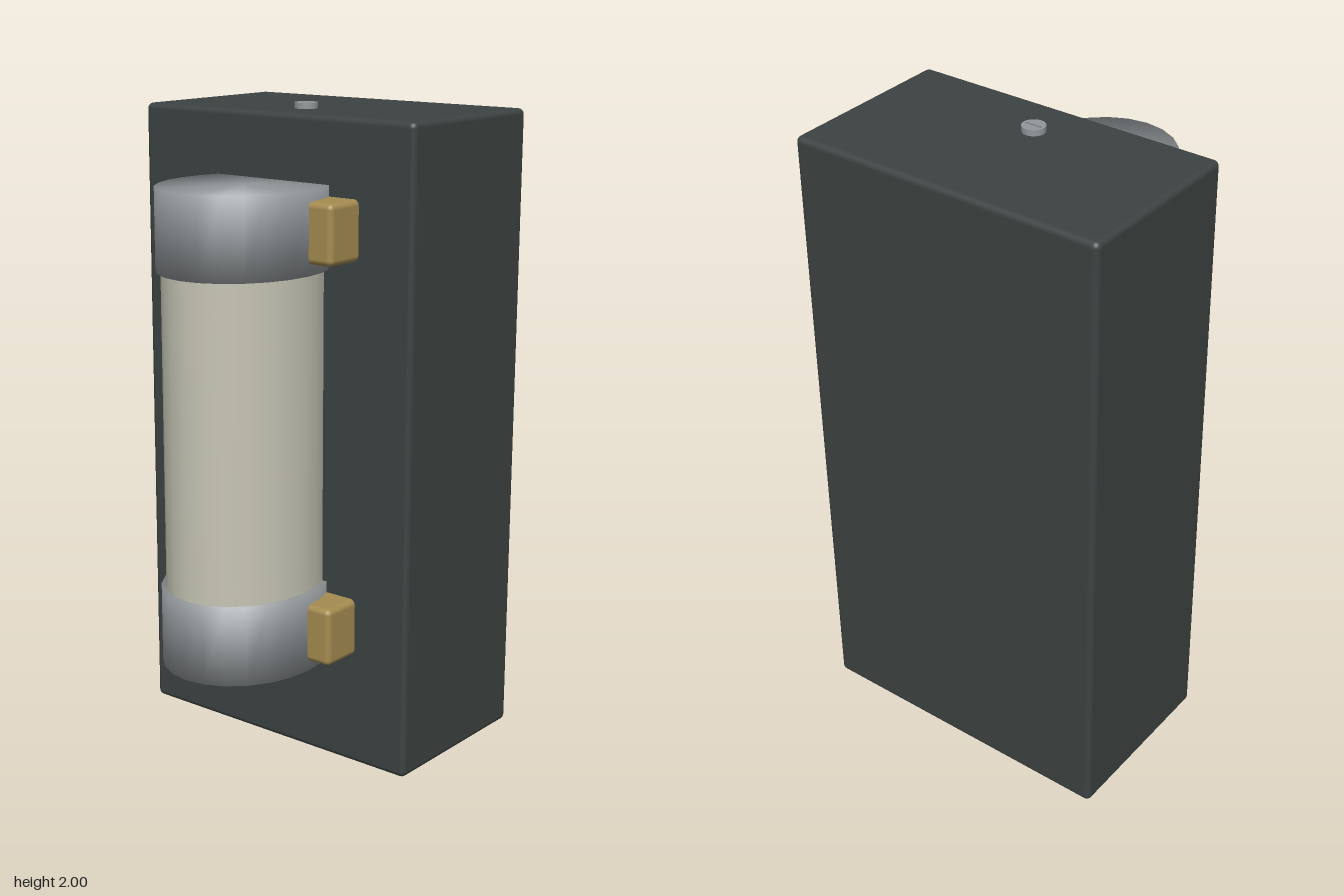
import * as THREE from 'three';
import { RoundedBoxGeometry } from 'three/addons/geometries/RoundedBoxGeometry.js';
import { mergeVertices } from 'three/addons/utils/BufferGeometryUtils.js';

function material(name, color) {
  const m = new THREE.MeshStandardMaterial({ color });
  m.name = name;
  return m;
}

export function createModel() {
  const group = new THREE.Group();
  const dark = material('dark casing', 0x3c4342);
  const steel = material('steel grey', 0x92979a);
  const cream = material('cream tube', 0xc6c5b5);
  const brass = material('brass', 0xa48b50);

  function add(name, geometry, mat, x, y, z) {
    const mesh = new THREE.Mesh(geometry, mat);
    mesh.name = name;
    mesh.position.set(x, y, z);
    group.add(mesh);
    return mesh;
  }

  // Oval cylinder; soft ends share their normals with the wall
  function ovalCylinder(rx, rz, height, soft) {
    let g = new THREE.CylinderGeometry(1, 1, height, 24);
    g.scale(rx, 1, rz);
    if (soft) {
      g.deleteAttribute('uv');
      g.deleteAttribute('normal');
      g = mergeVertices(g);
      g.computeVertexNormals();
    }
    return g;
  }

  // Casing
  add('casing', new RoundedBoxGeometry(1.02, 1.98, 0.576, 3, 0.018), dark, 0, 0.992, -0.207);

  // Fuse tube with an end cap and a pair of clips at each end
  add('tube', ovalCylinder(0.223, 0.27, 1.1, false), cream, 0, 1.056, 0.212);
  for (const [end, capY, clipY] of [['upper', 1.662, 1.662], ['lower', 0.45, 0.448]]) {
    add(end + 'Cap', ovalCylinder(0.24, 0.282, 0.246, true), steel, 0, capY, 0.212);
    for (const side of [1, -1]) {
      add(end + (side > 0 ? 'LeftClip' : 'RightClip'),
        new RoundedBoxGeometry(0.13, 0.18, 0.16, 3, 0.018), brass, side * 0.255, clipY, 0.129);
    }
  }

  // Screw: a shank disc under a head cut by a slot
  const r = 0.035;
  add('screwShank', new THREE.CylinderGeometry(r, r, 0.014, 24), steel, 0, 1.985, -0.078);
  const head = new THREE.Shape().absarc(0, 0, r, 0, Math.PI * 2);
  const slot = new THREE.Path();
  slot.moveTo(-0.027, -0.005).lineTo(-0.027, 0.005).lineTo(0.027, 0.005).lineTo(0.027, -0.005).closePath();
  head.holes.push(slot);
  const headGeometry = new THREE.ExtrudeGeometry(head, { depth: 0.008, bevelEnabled: false, curveSegments: 24 });
  headGeometry.rotateX(-Math.PI / 2);
  add('screwHead', headGeometry, steel, 0, 1.992, -0.078);
  add('screwSlot', new THREE.BoxGeometry(0.054, 0.002, 0.01), dark, 0, 1.992, -0.078);

  return group;
}
